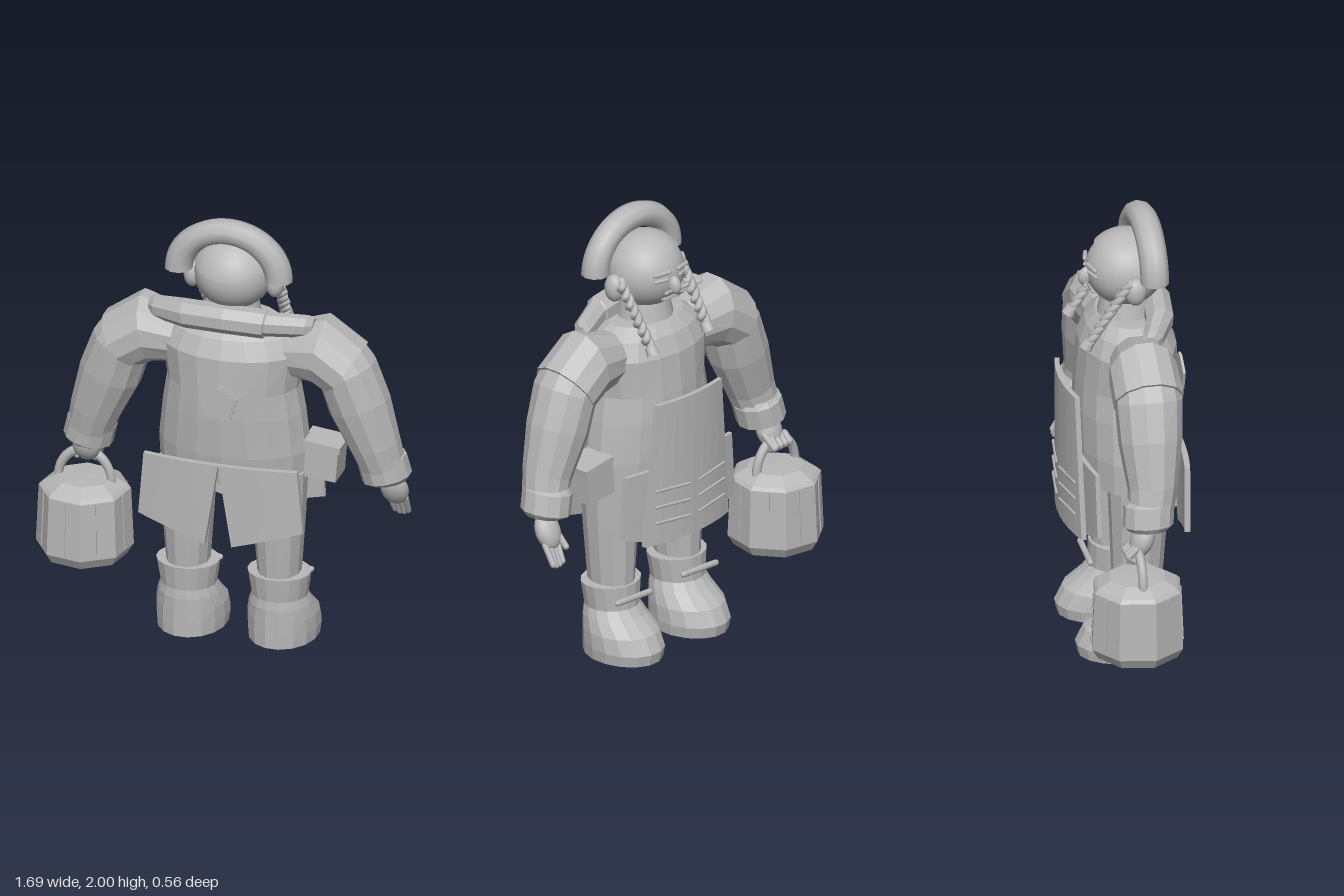
import * as THREE from 'three';

const grey = new THREE.MeshStandardMaterial({ color: 0xb8b8b8 });
grey.name = 'plain grey';
const V = (x, y, z) => new THREE.Vector3(x, y, z);

export function createModel() {
  const root = new THREE.Group();
  root.name = 'figure';
  // the figure stands slightly off centre; the bucket balances it
  const body = new THREE.Group();
  body.name = 'body';
  body.position.x = 0.06;
  root.add(body);

  const add = (name, geo, pos = [0, 0, 0], rot = [0, 0, 0], scale = [1, 1, 1]) => {
    const m = new THREE.Mesh(geo, grey);
    m.name = name;
    m.position.set(...pos);
    m.rotation.set(...rot);
    m.scale.set(...scale);
    body.add(m);
    return m;
  };
  const flat = (geo) => {
    const g = geo.index ? geo.toNonIndexed() : geo;
    g.computeVertexNormals();
    return g;
  };
  // closed skin over elliptical rings; row = [x, y, z, radius, z radius]
  const loft = (rows, n = 12, upright = false) => {
    const pos = [], idx = [], k = rows.length, b = V(0, 0, 1);
    const c = rows.map((r) => V(r[0], r[1], r[2]));
    rows.forEach((r, i) => {
      const t = upright ? V(0, 1, 0)
        : c[Math.min(i + 1, k - 1)].clone().sub(c[Math.max(i - 1, 0)]).setZ(0).normalize();
      const a = b.clone().cross(t);
      for (let j = 0; j < n; j++) {
        const w = ((j + 0.5) / n) * Math.PI * 2;
        const p = c[i].clone().addScaledVector(a, Math.cos(w) * r[3])
          .addScaledVector(b, Math.sin(w) * (r[4] ?? r[3]));
        pos.push(p.x, p.y, p.z);
      }
    });
    for (let i = 0; i < k - 1; i++) for (let j = 0; j < n; j++) {
      const p = i * n + j, q = i * n + ((j + 1) % n);
      idx.push(p, q, q + n, p, q + n, p + n);
    }
    for (let j = 1; j < n - 1; j++) {
      const e = (k - 1) * n;
      idx.push(0, j + 1, j, e, e + j, e + j + 1);
    }
    const g = new THREE.BufferGeometry();
    g.setAttribute('position', new THREE.Float32BufferAttribute(pos, 3));
    g.setIndex(idx);
    return flat(g);
  };
  // curved four-sided cloth panel: x limits at top and bottom, y at each corner
  const panel = (top, bottom, yTop, yBot, z0, bend, t) => {
    const g = new THREE.BoxGeometry(1, 1, t, 8, 2, 1), p = g.attributes.position;
    const mix = THREE.MathUtils.lerp;
    for (let i = 0; i < p.count; i++) {
      const u = p.getX(i) + 0.5, v = p.getY(i) + 0.5;
      const x = mix(mix(bottom[0], bottom[1], u), mix(top[0], top[1], u), v);
      p.setXYZ(i, x, mix(mix(yBot[0], yBot[1], u), yTop, v), p.getZ(i) + z0 + bend * x * x);
    }
    return flat(g);
  };
  const rod = (name, a, b, r, sides = 8) => {
    const d = b.clone().sub(a);
    const m = add(name, new THREE.CapsuleGeometry(r, d.length(), 3, sides), a.clone().add(b).multiplyScalar(0.5).toArray());
    m.quaternion.setFromUnitVectors(V(0, 1, 0), d.normalize());
    return m;
  };
  const ball = new THREE.SphereGeometry(1, 20, 14);

  // coat, neck and rolled collar
  add('coat', loft([
    [0, 0.78, 0.005, 0.33, 0.195], [0, 0.92, 0.01, 0.335, 0.21], [0, 1.1, 0.015, 0.315, 0.22],
    [0, 1.22, 0.02, 0.295, 0.22], [0, 1.39, 0.025, 0.32, 0.21], [0, 1.47, 0.022, 0.275, 0.175],
    [0, 1.52, 0.02, 0.2, 0.13]], 18, true));
  add('neck', new THREE.CylinderGeometry(0.1, 0.13, 0.14, 14), [0, 1.56, 0.02]);
  add('collarRoll', loft([
    [-0.37, 1.525, 0.05, 0.035], [-0.34, 1.525, 0.065, 0.05], [-0.19, 1.545, 0.13, 0.064],
    [0, 1.555, 0.155, 0.064], [0.175, 1.545, 0.135, 0.064], [0.18, 1.545, 0.132, 0.055],
    [0.34, 1.525, 0.065, 0.05], [0.37, 1.525, 0.05, 0.035]], 8));

  // coat tails, front and back
  for (const s of [-1, 1]) {
    const order = (a, b) => (s > 0 ? [a, b] : [b, a]);
    const top = order(0, s * 0.345), bottom = order(s * 0.06, s * 0.37), low = order(0.52, 0.61);
    add('backCoatTail', panel(top, bottom, 0.9, low, 0.25, -0.28, 0.025));
    add('frontCoatTail', panel(top.map((x) => x * 0.95), bottom.map((x) => x * 0.95), 0.9, low, -0.205, 0.28, 0.02));
  }

  // apron with slatted trim
  const slatZ = (x) => -0.277 + 0.6 * x * x;
  add('apron', panel([-0.2, 0.2], [-0.26, 0.26], 1.22, [0.565, 0.565], -0.26, 0.6, 0.022));
  for (let i = 0; i < 3; i++) for (const s of [-1, 1])
    rod('apronSlat', V(s * 0.03, 0.66 + i * 0.075, slatZ(0.03)), V(s * 0.21, 0.67 + i * 0.075, slatZ(0.21)), 0.007, 6);

  // five-sided back badge with raised rim
  const badge = (r) => new THREE.CylinderGeometry(r, r, 0.008, 5);
  add('badgeRim', flat(badge(0.092)), [0, 1.2, 0.26], [Math.PI / 2, Math.PI, 0]);
  add('badgeFace', flat(badge(0.08)), [0, 1.2, 0.266], [Math.PI / 2, Math.PI, 0]);

  // hip pouch
  add('pouch', new THREE.BoxGeometry(0.16, 0.15, 0.14), [0.39, 0.87, -0.02], [0, 0, -0.08]);
  add('pouchFlap', new THREE.BoxGeometry(0.17, 0.03, 0.15), [0.4, 0.95, -0.02], [0, 0, -0.12]);

  // head, cap and crest
  add('head', new THREE.SphereGeometry(0.172, 28, 20), [0, 1.725, 0.02], [0, 0, 0], [1, 0.95, 1]);
  add('cap', new THREE.SphereGeometry(0.185, 28, 10, 0, Math.PI * 2, 0, 1.1), [0, 1.715, 0.02], [0.29, 0, 0]);
  add('capCrest', new THREE.TorusGeometry(0.225, 0.062, 10, 28, Math.PI), [0, 1.745, 0.1], [0, 0, 0], [1, 0.89, 1]);

  // face, looking towards the rear
  add('nose', ball, [0, 1.7, -0.155], [0.3, 0, 0], [0.026, 0.042, 0.032]);
  add('mouth', new THREE.BoxGeometry(0.08, 0.01, 0.02), [0, 1.632, -0.125]);
  for (const s of [-1, 1]) {
    add('crestEnd', new THREE.CircleGeometry(0.062, 10), [s * 0.225, 1.746, 0.1], [Math.PI / 2, 0, 0]);
    rod('eyebrow', V(s * 0.03, 1.768, -0.152), V(s * 0.095, 1.765, -0.135), 0.01);
    rod('eyelid', V(s * 0.04, 1.735, -0.15), V(s * 0.09, 1.73, -0.128), 0.008);
    rod('moustache', V(s * 0.015, 1.675, -0.155), V(s * 0.065, 1.685, -0.17), 0.009);
    add('ear', ball, [s * 0.185, 1.69, 0.025], [0, 0, 0], [0.04, 0.062, 0.046]);

    // twisted braid
    const from = V(s * 0.185, 1.735, 0.0), to = V(s * 0.172, 1.46, -0.18);
    for (let strand = 0; strand < 2; strand++) {
      const pts = [];
      for (let i = 0; i <= 40; i++) {
        const w = (i / 40) * Math.PI * 8 + strand * Math.PI;
        pts.push(from.clone().lerp(to, i / 40).add(V(Math.cos(w) * 0.014, Math.sin(w) * 0.008, Math.sin(w) * 0.012)));
      }
      add('braidStrand', new THREE.TubeGeometry(new THREE.CatmullRomCurve3(pts), 64, 0.017, 7));
    }
    add('braidTie', new THREE.CylinderGeometry(0.025, 0.03, 0.04, 10), [to.x, to.y - 0.005, to.z - 0.005], [0.5, 0, 0]);

    // sleeve, from shoulder down
    const arm = (rows) => rows.map(([x, ...rest]) => [s * x, ...rest]);
    add('shoulder', loft(arm([[0.2, 1.38, 0.015, 0.11], [0.39, 1.405, 0.01, 0.16, 0.15], [0.51, 1.325, 0.01, 0.14, 0.155]])));
    add('sleeve', loft(arm([[0.47, 1.38, 0.01, 0.12, 0.14], [0.505, 1.32, 0.01, 0.133, 0.148],
      [0.56, 1.16, 0.005, 0.138, 0.138], [0.63, 0.97, 0, 0.112, 0.108], [0.66, 0.87, -0.015, 0.1]])));
    add('cuff', loft(arm([[0.648, 0.925, -0.02, 0.095], [0.65, 0.905, -0.022, 0.11], [0.672, 0.815, -0.03, 0.11], [0.674, 0.8, -0.03, 0.09]])));

    // trouser leg and boot
    const x = s * 0.205;
    add('leg', loft([[x, 0.25, 0.025, 0.092, 0.1], [x, 0.33, 0.025, 0.095, 0.11],
      [x, 0.6, 0.03, 0.115, 0.125], [x, 0.82, 0.03, 0.125, 0.135]], 12, true));
    add('boot', loft([[x, 0, -0.045, 0.152, 0.19], [x, 0.05, -0.05, 0.158, 0.195], [x, 0.12, -0.033, 0.155, 0.177],
      [x, 0.18, 0.005, 0.138, 0.138], [x, 0.22, 0.02, 0.123, 0.118], [x, 0.33, 0.027, 0.14, 0.123]], 16, true));
    rod('bootToggle', V(x - 0.1, 0.27, -0.11), V(x + 0.1, 0.28, -0.11), 0.014);
  }

  // open hand hanging at the left side
  add('leftPalm', ball, [0.695, 0.74, -0.065], [0.45, 0, 0], [0.062, 0.085, 0.045]);
  for (let i = 0; i < 4; i++)
    rod('leftFinger', V(0.665 + i * 0.024, 0.69, -0.09), V(0.677 + i * 0.019, 0.6 + Math.abs(i - 1.5) * 0.008, -0.135), 0.014);
  rod('leftThumb', V(0.66, 0.73, -0.085), V(0.65, 0.67, -0.13), 0.015);

  // right fist around the bucket handle
  add('rightPalm', ball, [-0.69, 0.755, -0.06], [0.4, 0, 0], [0.062, 0.08, 0.05]);
  for (let i = 0; i < 4; i++) {
    const fx = -0.745 + i * 0.028;
    rod('rightFinger', V(fx, 0.735, -0.1), V(fx, 0.705, -0.13), 0.015);
    rod('rightFingertip', V(fx, 0.7, -0.13), V(fx, 0.68, -0.1), 0.014);
  }
  rod('rightThumb', V(-0.64, 0.75, -0.08), V(-0.65, 0.7, -0.13), 0.015);

  // eight-sided bucket with raised lid and hoop handle
  const bx = -0.705, bz = -0.085;
  const profile = [[0, 0.235], [0.185, 0.235], [0.212, 0.28], [0.2, 0.545], [0.185, 0.56], [0.125, 0.595], [0, 0.6]]
    .map(([r, y]) => new THREE.Vector2(r, y));
  add('bucket', flat(new THREE.LatheGeometry(profile, 8)), [bx, 0, bz], [0, Math.PI / 16, 0]);
  add('bucketHandle', new THREE.TorusGeometry(0.12, 0.02, 8, 24, Math.PI), [bx, 0.575, bz], [0, 0, 0], [1, 1.2, 1]);
  for (let i = 0; i < 8; i++) {
    const w = Math.PI / 16 + ((i + 0.5) * Math.PI) / 4, r = 0.191;
    add('bucketStave', new THREE.BoxGeometry(0.014, 0.25, 0.008), [bx + Math.sin(w) * r, 0.415, bz + Math.cos(w) * r],
      [-0.042, w, 0, 'YXZ']);
  }
  return root;
}
